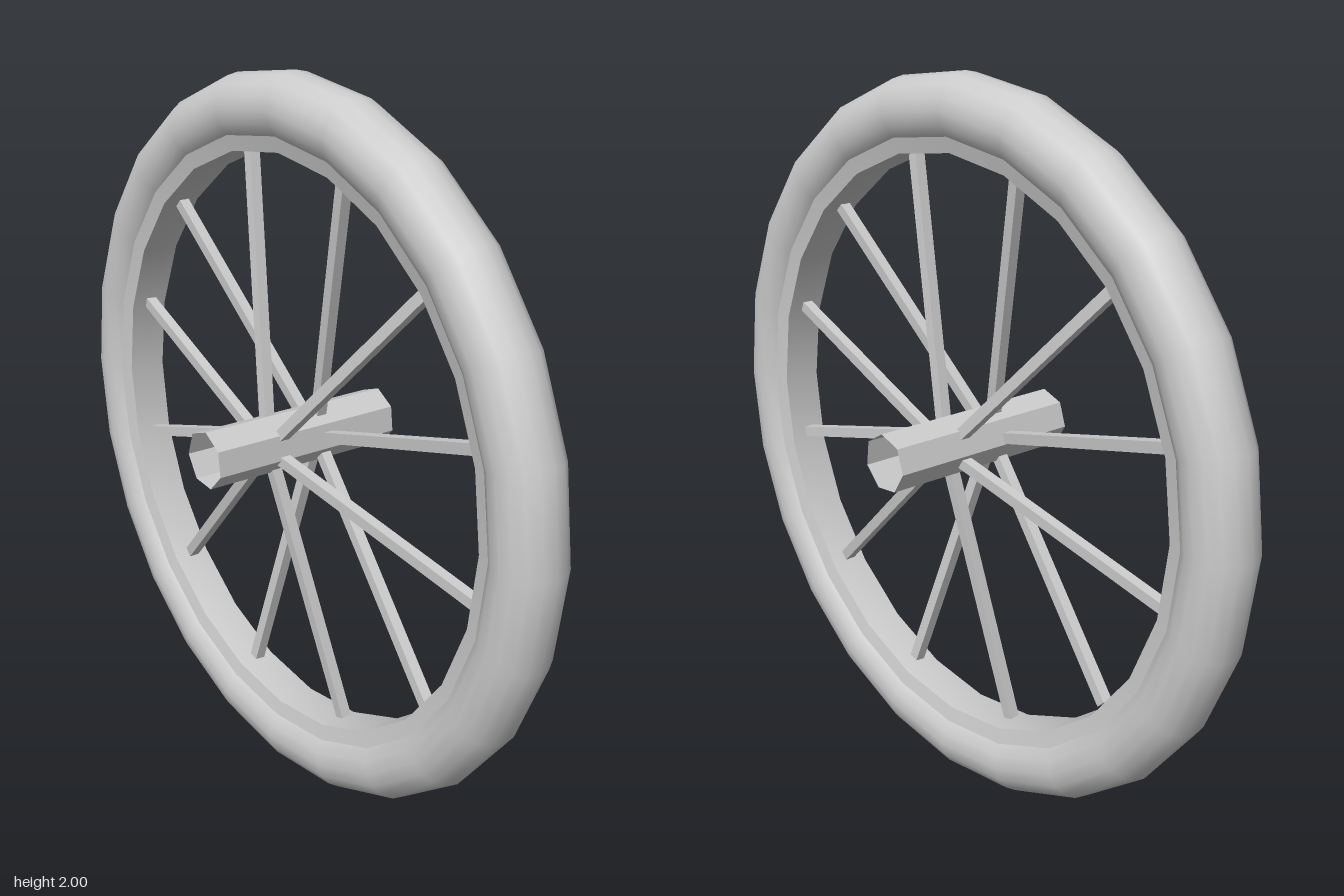
import * as THREE from 'three';
import { toCreasedNormals } from 'three/addons/utils/BufferGeometryUtils.js';

const SIDES = 24;
const CENTRE_Y = 1.0;

export function createModel() {
  const wheel = new THREE.Group();
  wheel.name = 'wheel';
  const smooth = new THREE.MeshStandardMaterial({ color: 0xcccccc });
  const flat = new THREE.MeshStandardMaterial({ color: 0xcccccc, flatShading: true });
  const open = new THREE.MeshStandardMaterial({ color: 0xcccccc, flatShading: true, side: THREE.DoubleSide });

  const add = (name, geometry, material) => {
    const mesh = new THREE.Mesh(geometry, material);
    mesh.name = name;
    wheel.add(mesh);
    return mesh;
  };

  // Round tyre, axle along x
  const tyre = new THREE.TorusGeometry(0.907, 0.093, 16, SIDES).rotateY(Math.PI / 2);
  add('tyre', tyre, smooth).position.y = CENTRE_Y;

  // Rim: flat inner band with sloped shoulders running into the tyre
  const profile = [[0.865, 0.072], [0.8, 0.056], [0.795, 0], [0.8, -0.056], [0.865, -0.072]]
    .map(([r, x]) => new THREE.Vector2(r, x));
  const rim = new THREE.LatheGeometry(profile, SIDES).rotateZ(-Math.PI / 2);
  add('rim', toCreasedNormals(rim, 0.5), smooth).position.y = CENTRE_Y;

  // Hub: open seven-sided tube, slightly off centre
  const hub = new THREE.CylinderGeometry(0.08, 0.08, 0.575, 7, 1, true)
    .rotateZ(-Math.PI / 2)
    .rotateX(THREE.MathUtils.degToRad(6));
  // a corner of the tube points almost straight up
  const hubMesh = add('hub', hub, open);
  hubMesh.position.set(-0.003, 1.02, -0.006);
  hubMesh.rotation.x = cornerTurn(hub);

  // Spokes: square bars, dished alternately to either side of the hub
  const angles = [17, 46, 75, 104.5, 135, 164.5, 195.5, 225, 255.5, 287, 317, 347];
  const up = new THREE.Vector3(0, 1, 0);
  angles.forEach((degrees, i) => {
    const a = THREE.MathUtils.degToRad(degrees);
    const inner = new THREE.Vector3(i % 2 ? -0.09 : 0.07, 1.005, 0);
    const outer = new THREE.Vector3(0, 1.005 + 0.79 * Math.sin(a), 0.79 * Math.cos(a));
    const along = outer.clone().sub(inner);
    const spoke = add('spoke', new THREE.BoxGeometry(0.03, along.length(), 0.03), flat);
    spoke.position.copy(inner).add(outer).multiplyScalar(0.5);
    // turn about the axle first, then lean sideways
    const roll = new THREE.Quaternion().setFromAxisAngle(new THREE.Vector3(1, 0, 0), Math.PI / 2 - a);
    const radial = up.clone().applyQuaternion(roll);
    const lean = new THREE.Quaternion().setFromUnitVectors(radial, along.normalize());
    spoke.quaternion.copy(lean.multiply(roll));
  });

  return wheel;
}

// Rotation about x that brings the first corner of a tube to 84 degrees above +z
function cornerTurn(geometry) {
  const p = geometry.attributes.position;
  return Math.atan2(p.getY(0), p.getZ(0)) - THREE.MathUtils.degToRad(84);
}
